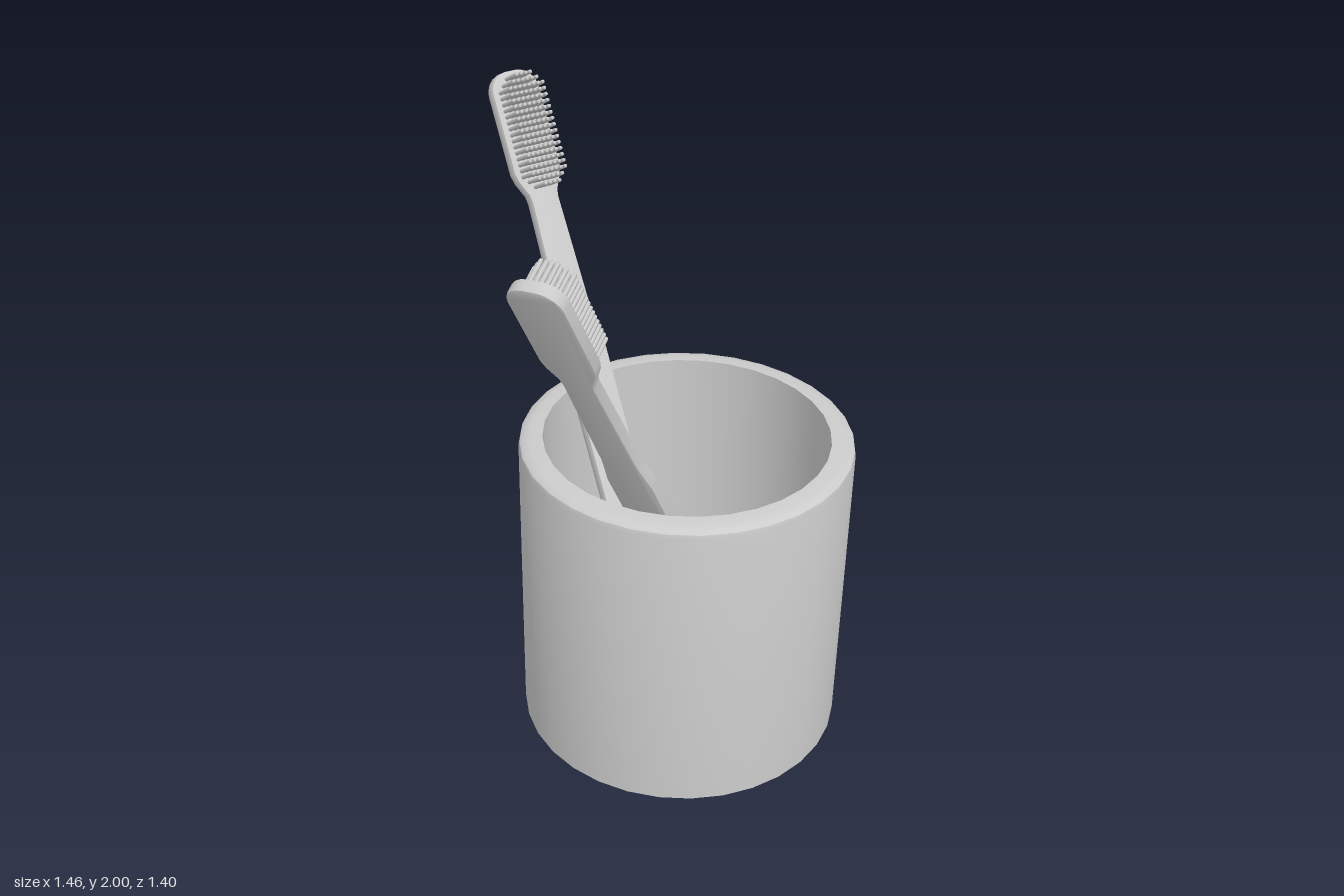
import * as THREE from 'three';
import { mergeGeometries, toCreasedNormals } from 'three/addons/utils/BufferGeometryUtils.js';

const material = new THREE.MeshStandardMaterial({ color: 0xcccccc });
const THICK = 0.04; // thickness of the brush body
const LENGTH = 1.87;

function addMesh(parent, geometry, name) {
  const mesh = new THREE.Mesh(geometry, material);
  mesh.name = name;
  parent.add(mesh);
  return mesh;
}

// Open cup: base, wall, rounded rim, inner wall and raised floor in one profile
function cupGeometry() {
  const profile = [
    [0, 0], [0.525, 0], [0.525, 1.02], [0.522, 1.034], [0.51, 1.043],
    [0.49, 1.048], [0.45, 1.05], [0.45, 0.3], [0, 0.3],
  ].map(([r, y]) => new THREE.Vector2(r, y));
  return toCreasedNormals(new THREE.LatheGeometry(profile, 32), 0.65);
}

// Flat body: wide handle, slim neck and rounded head; y runs along the brush
function bodyGeometry() {
  const b = 0.006;
  const L = LENGTH - b;
  const h = 0.084 - b; // half width of the head
  const r = 0.06; // corner radius at the tip
  const half = [
    [0.062, b], [0.069, 0.02], [0.069, 0.96], [0.064, 0.99],
    [0.056, 1.04], [0.052, 1.07], [0.043, 1.45], [0.047, 1.475],
    [h - 0.008, 1.52], [h, 1.55],
  ];
  for (let i = 0; i <= 5; i++) {
    const a = (i / 5) * Math.PI / 2;
    half.push([h - r + r * Math.cos(a), L - r + r * Math.sin(a)]);
  }
  const mirrored = half.map(([x, y]) => [-x, y]).reverse();
  const shape = new THREE.Shape([...half, ...mirrored].map(([x, y]) => new THREE.Vector2(x, y)));
  const geometry = new THREE.ExtrudeGeometry(shape, {
    depth: THICK - 2 * b, bevelEnabled: true, bevelThickness: b, bevelSize: b, bevelSegments: 2,
  });
  geometry.translate(0, 0, b - THICK / 2);
  return toCreasedNormals(geometry, 0.6);
}

// Grid of thin round-tipped bristles, leaving out the corners
function bristleGeometry() {
  const cols = 8, rows = 19, radius = 0.0065, height = 0.085;
  const profile = [
    [radius, 0], [radius, height - 0.006], [radius * 0.7, height - 0.002], [0, height],
  ].map(([x, y]) => new THREE.Vector2(x, y));
  const single = new THREE.LatheGeometry(profile, 7).rotateX(Math.PI / 2);
  const all = [];
  for (let i = 0; i < cols; i++) {
    for (let j = 0; j < rows; j++) {
      const side = Math.min(i, cols - 1 - i), end = Math.min(j, rows - 1 - j);
      if (side + end < 2) continue;
      const x = (i / (cols - 1) - 0.5) * 0.118;
      const y = 1.495 + (j / (rows - 1)) * 0.35;
      all.push(single.clone().translate(x, y, THICK / 2 - 0.003));
    }
  }
  return mergeGeometries(all);
}

export function createModel() {
  const model = new THREE.Group();
  model.name = 'toothbrushCup';

  addMesh(model, cupGeometry(), 'cup').position.set(0.2, 0, -0.173);

  const body = bodyGeometry();
  const bristles = bristleGeometry();

  // Leaning brushes: lower end, long axis, and sideways axis of each
  const brushes = [
    { name: 'leftLeaningBrush', end: [0.195, 0.333, -0.066], axis: [-0.486, 0.862, -0.142], side: [0.255, -0.015, -0.967] },
    { name: 'frontLeaningBrush', end: [0.319, 0.316, -0.193], axis: [0.038, 0.883, 0.468], side: [-0.966, -0.083, 0.236] },
  ];
  for (const { name, end, axis, side } of brushes) {
    const brush = new THREE.Group();
    brush.name = name;
    const y = new THREE.Vector3(...axis).normalize();
    const z = new THREE.Vector3(...side).cross(y).normalize();
    const x = new THREE.Vector3().crossVectors(y, z);
    brush.quaternion.setFromRotationMatrix(new THREE.Matrix4().makeBasis(x, y, z));
    brush.position.set(...end);
    addMesh(brush, body, 'brushBody');
    addMesh(brush, bristles, 'bristles');
    model.add(brush);
  }
  return model;
}
